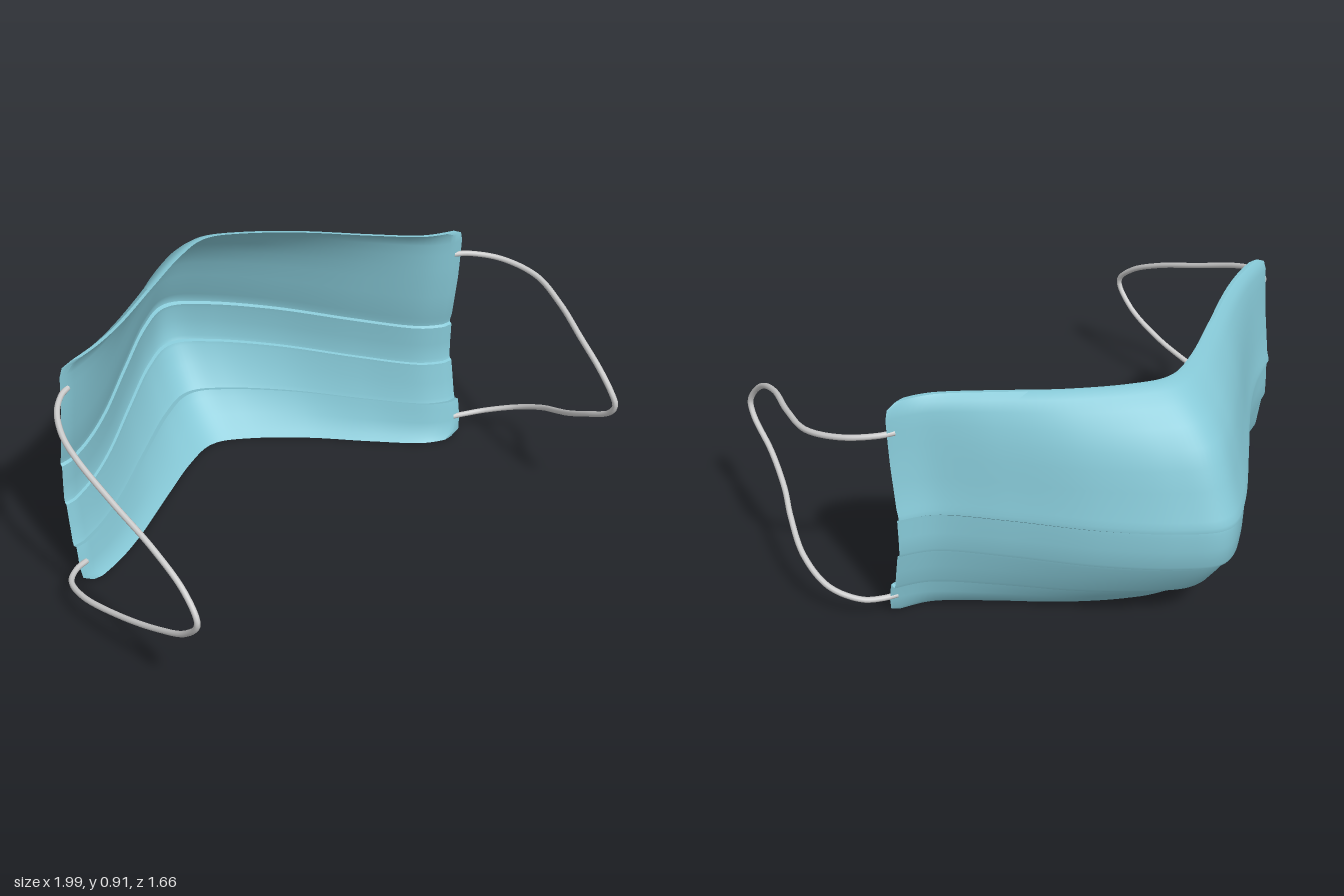
import * as THREE from 'three';
import { toCreasedNormals } from 'three/addons/utils/BufferGeometryUtils.js';

// Pleated vertical profile: [y, z at the side edges, z at the nose ridge]
const PROFILE = [
  [0, 0, -0.49], [0.02, -0.004, -0.515], [0.07, -0.012, -0.575], [0.12, -0.02, -0.63], [0.146, -0.026, -0.65],
  [0.14, -0.046, -0.675], [0.155, -0.052, -0.69], [0.22, -0.064, -0.738], [0.285, -0.076, -0.783], [0.298, -0.078, -0.788],
  [0.302, -0.088, -0.803], [0.315, -0.092, -0.81], [0.38, -0.092, -0.815], [0.44, -0.09, -0.815], [0.455, -0.09, -0.812],
  [0.462, -0.1, -0.826], [0.478, -0.098, -0.826], [0.5, -0.09, -0.813], [0.6, -0.076, -0.775], [0.67, -0.066, -0.742],
  [0.73, -0.061, -0.708], [0.79, -0.057, -0.648], [0.84, -0.054, -0.588], [0.875, -0.051, -0.54], [0.893, -0.05, -0.505],
];

// Horizontal bend: x against the share of the way from edge to ridge
const BEND = new THREE.SplineCurve([
  [-0.89, 0], [-0.75, 0.12], [-0.6, 0.3], [-0.4, 0.59], [-0.2, 0.87], [-0.05, 1],
  [0.1, 0.9], [0.3, 0.65], [0.5, 0.33], [0.67, 0.08], [0.8, 0],
].map(([x, s]) => new THREE.Vector2(x, s)));

const THICKNESS = 0.015, CORNER = 0.045, HEIGHT = 0.893, CENTRE = -0.045, HALF = 0.845;

// How far the side edge draws in at the rounded corners
function cornerInset(y) {
  const d = CORNER - Math.min(y, HEIGHT - y);
  return d > 0 ? CORNER - Math.sqrt(Math.max(0, CORNER * CORNER - d * d)) : 0;
}

// Thin closed sheet: each column is a loop up the outside and down the inside
function sheetGeometry() {
  const columns = 80;
  const n = PROFILE.length;
  const loop = 2 * n;
  const positions = [], indices = [];
  for (let i = 0; i <= columns; i++) {
    const p = BEND.getPoint(i / columns);
    const thick = THICKNESS * Math.min(1, Math.min(i, columns - i) / 3);
    for (let j = 0; j < loop; j++) {
      const inside = j >= n;
      const [y, edge, ridge] = PROFILE[inside ? loop - 1 - j : j];
      const x = CENTRE + (p.x - CENTRE) * (1 - cornerInset(y) / HALF);
      const z = edge + (ridge - edge) * p.y + (inside ? thick : 0);
      positions.push(x, y * (1 + 0.014 * p.y), z);
    }
  }
  for (let i = 0; i < columns; i++) {
    for (let j = 0; j < loop; j++) {
      const k = (j + 1) % loop;
      const a = i * loop + j, b = a + loop, c = i * loop + k, d = c + loop;
      indices.push(a, c, b, b, c, d);
    }
  }
  const g = new THREE.BufferGeometry();
  g.setAttribute('position', new THREE.Float32BufferAttribute(positions, 3));
  g.setIndex(indices);
  return toCreasedNormals(g, 0.6);
}

// Elastic cord running through a list of points
function earLoop(name, points, material) {
  const curve = new THREE.CatmullRomCurve3(points.map((p) => new THREE.Vector3(...p)));
  const mesh = new THREE.Mesh(new THREE.TubeGeometry(curve, 120, 0.0105, 8), material);
  mesh.name = name;
  return mesh;
}

export function createModel() {
  const group = new THREE.Group();
  group.name = 'faceMask';
  const fabric = new THREE.MeshStandardMaterial({ color: 0x86c8d6 });
  const elastic = new THREE.MeshStandardMaterial({ color: 0xcccccc });

  // Pleated fabric panel
  const panel = new THREE.Mesh(sheetGeometry(), fabric);
  panel.name = 'pleatedPanel';
  group.add(panel);

  // Ear loops, each from the top corner round to the bottom corner
  group.add(earLoop('leftEarLoop', [
    [0.77, 0.785, -0.06], [0.82, 0.782, -0.04], [0.91, 0.77, 0.04], [0.965, 0.748, 0.18], [0.935, 0.722, 0.36],
    [0.88, 0.69, 0.54], [0.857, 0.64, 0.67], [0.857, 0.58, 0.74], [0.865, 0.53, 0.763], [0.87, 0.48, 0.735],
    [0.88, 0.4, 0.61], [0.91, 0.32, 0.48], [0.945, 0.265, 0.39], [0.982, 0.19, 0.25], [0.965, 0.125, 0.12],
    [0.89, 0.088, 0.03], [0.82, 0.08, -0.002], [0.77, 0.08, -0.015],
  ], elastic));
  group.add(earLoop('rightEarLoop', [
    [-0.86, 0.785, -0.06], [-0.895, 0.78, -0.04], [-0.945, 0.765, 0.02], [-0.98, 0.738, 0.12], [-0.984, 0.705, 0.22],
    [-0.96, 0.635, 0.4], [-0.928, 0.56, 0.6], [-0.908, 0.48, 0.75], [-0.905, 0.4, 0.82], [-0.908, 0.31, 0.75],
    [-0.925, 0.23, 0.6], [-0.96, 0.165, 0.4], [-0.988, 0.122, 0.2], [-0.97, 0.1, 0.08], [-0.91, 0.085, 0.01],
    [-0.86, 0.08, -0.015],
  ], elastic));
  return group;
}
